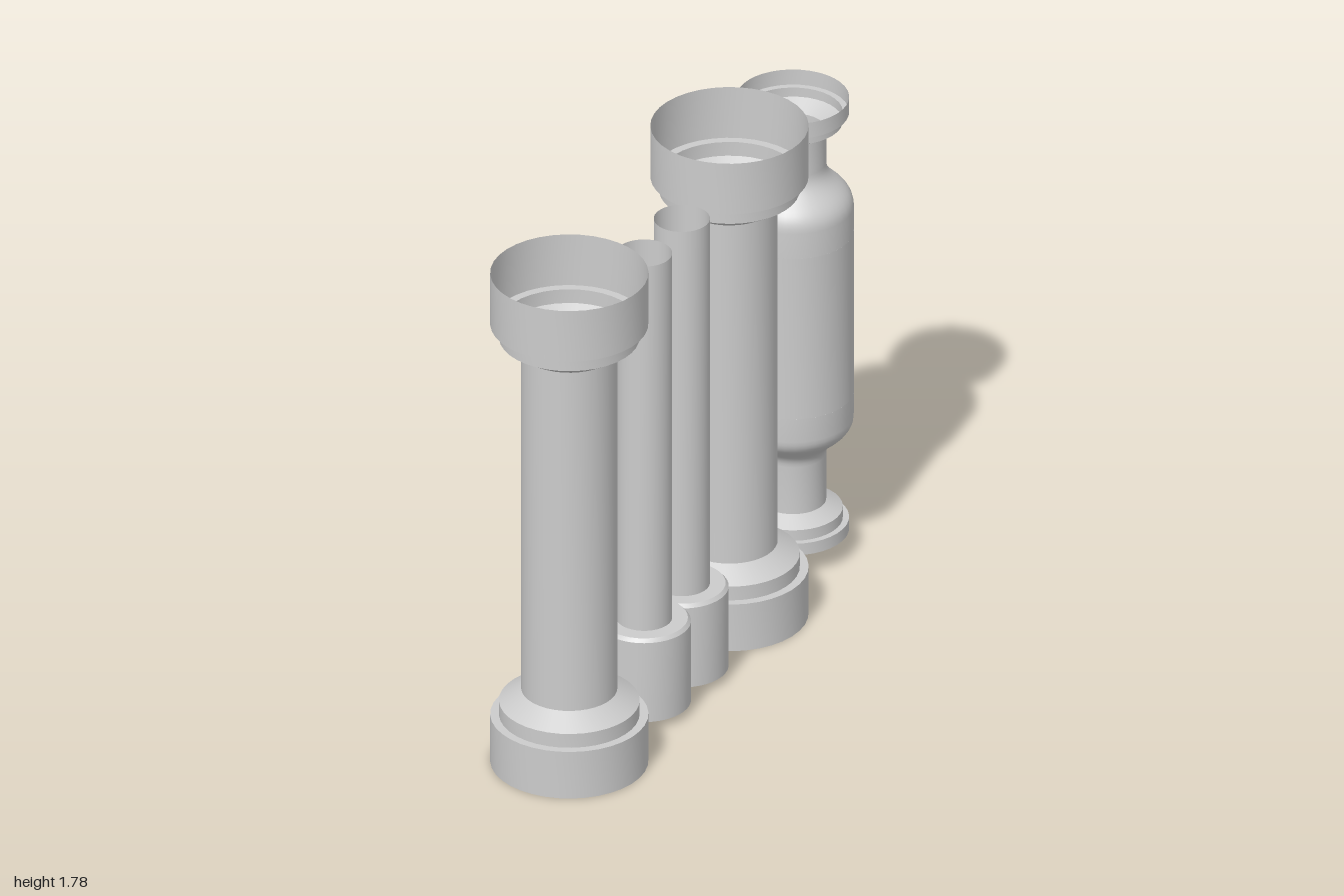
import * as THREE from 'three';
import { toCreasedNormals } from 'three/addons/utils/BufferGeometryUtils.js';

const material = new THREE.MeshStandardMaterial({ color: 0xcccccc, side: THREE.DoubleSide });

function addMesh(parent, name, geometry) {
  const mesh = new THREE.Mesh(toCreasedNormals(geometry, 0.5), material);
  mesh.name = name;
  parent.add(mesh);
}

// Open shell of revolution from [radius, height] pairs
function shell(profile, start = 0, length = Math.PI * 2) {
  return new THREE.LatheGeometry(profile.map(([r, y]) => new THREE.Vector2(r, y)), 36, start, length);
}

// Wide tube with a stepped collar at both ends
function collaredTube(name, z) {
  const group = new THREE.Group();
  group.name = name;
  group.position.z = z;
  addMesh(group, name + 'Shell', shell([
    [0.253, 0], [0.253, 0.17], [0.225, 0.17], [0.225, 0.22], [0.154, 0.265],
    [0.154, 1.5], [0.225, 1.545], [0.225, 1.595], [0.253, 1.595], [0.253, 1.78],
  ]));
  return group;
}

// Two thin open rods standing on a figure-eight base that is open below
function twinRods() {
  const group = new THREE.Group();
  group.name = 'twinRods';
  group.position.set(0.05, 0, 0.2);
  const half = 0.129, steps = 32;

  const outline = (r) => {
    const waist = Math.acos(half / r), points = [];
    for (const side of [1, -1]) {
      for (let i = 0; i < steps; i++) {
        const a = -Math.PI / 2 + waist + (i / steps) * 2 * (Math.PI - waist);
        points.push(new THREE.Vector2(side * r * Math.cos(a), side * (half + r * Math.sin(a))));
      }
    }
    return points;
  };

  // Base wall and bevelled rim, lofted through three outlines
  const rings = [[0.15, 0.03], [0.15, 0.318], [0.14, 0.33]];
  const positions = [], index = [], n = steps * 2;
  rings.forEach(([r, y], k) => {
    outline(r).forEach((p, i) => {
      positions.push(p.x, y, -p.y);
      if (k === 0) return;
      const a = (k - 1) * n + i, b = (k - 1) * n + (i + 1) % n;
      index.push(a, b, b + n, a, b + n, a + n);
    });
  });
  const wall = new THREE.BufferGeometry();
  wall.setAttribute('position', new THREE.Float32BufferAttribute(positions, 3));
  wall.setIndex(index);
  addMesh(group, 'baseWall', wall);

  const top = new THREE.ShapeGeometry(new THREE.Shape(outline(0.14)));
  addMesh(group, 'baseTop', top.rotateX(-Math.PI / 2).translate(0, 0.33, 0));

  for (const side of [1, -1]) {
    const rod = new THREE.CylinderGeometry(0.09, 0.09, 1.33, 32, 1, true);
    addMesh(group, side > 0 ? 'frontRod' : 'backRod', rod.translate(0, 0.995, side * half));
  }
  return group;
}

// Bulged canister with flanged ends and a rounded window on its right side
function canister() {
  const group = new THREE.Group();
  group.name = 'canister';
  group.position.set(-0.01, 0, -0.803);
  const R = 0.195, low = 0.59, high = 1.175, halfAngle = 0.39, corner = 0.028;

  const shoulder = (y0, y1) => new THREE.CubicBezierCurve(
    new THREE.Vector2(0.107, y0), new THREE.Vector2(0.107, y0 + (y1 - y0) * 0.45),
    new THREE.Vector2(R, y0 + (y1 - y0) * 0.5), new THREE.Vector2(R, y1),
  ).getPoints(14).map((p) => [p.x, p.y]);

  addMesh(group, 'lowerBody', shell([
    [0.18, 0.085], [0.18, 0.127], [0.16, 0.127], [0.16, 0.165], [0.107, 0.195],
    ...shoulder(0.365, 0.505), [R, low],
  ]));
  addMesh(group, 'upperBody', shell([
    [R, high], ...shoulder(1.425, 1.265).reverse(),
    [0.107, 1.54], [0.16, 1.572], [0.16, 1.605], [0.18, 1.605], [0.18, 1.66],
  ]));
  addMesh(group, 'windowedBody',
    shell([[R, low], [R, high]], Math.PI * 1.5 + halfAngle, 2 * (Math.PI - halfAngle)));

  // Small fillets in the window corners, wrapped around the body
  for (const side of [1, -1]) {
    for (const up of [1, -1]) {
      const fillet = new THREE.Shape();
      fillet.moveTo(0, 0);
      fillet.lineTo(corner, 0);
      fillet.quadraticCurveTo(0, 0, 0, corner);
      const geometry = new THREE.ShapeGeometry(fillet, 8);
      const p = geometry.attributes.position;
      for (let i = 0; i < p.count; i++) {
        const angle = side * (halfAngle - p.getX(i) / R);
        const y = up > 0 ? high - p.getY(i) : low + p.getY(i);
        p.setXYZ(i, -R * Math.cos(angle), y, R * Math.sin(angle));
      }
      if (side * up < 0) geometry.index.array.reverse();
      addMesh(group, 'windowCorner', geometry);
    }
  }
  return group;
}

export function createModel() {
  const model = new THREE.Group();
  model.name = 'tubeSet';
  model.add(
    collaredTube('frontTube', 0.747),
    twinRods(),
    collaredTube('middleTube', -0.35),
    canister(),
  );
  return model;
}
